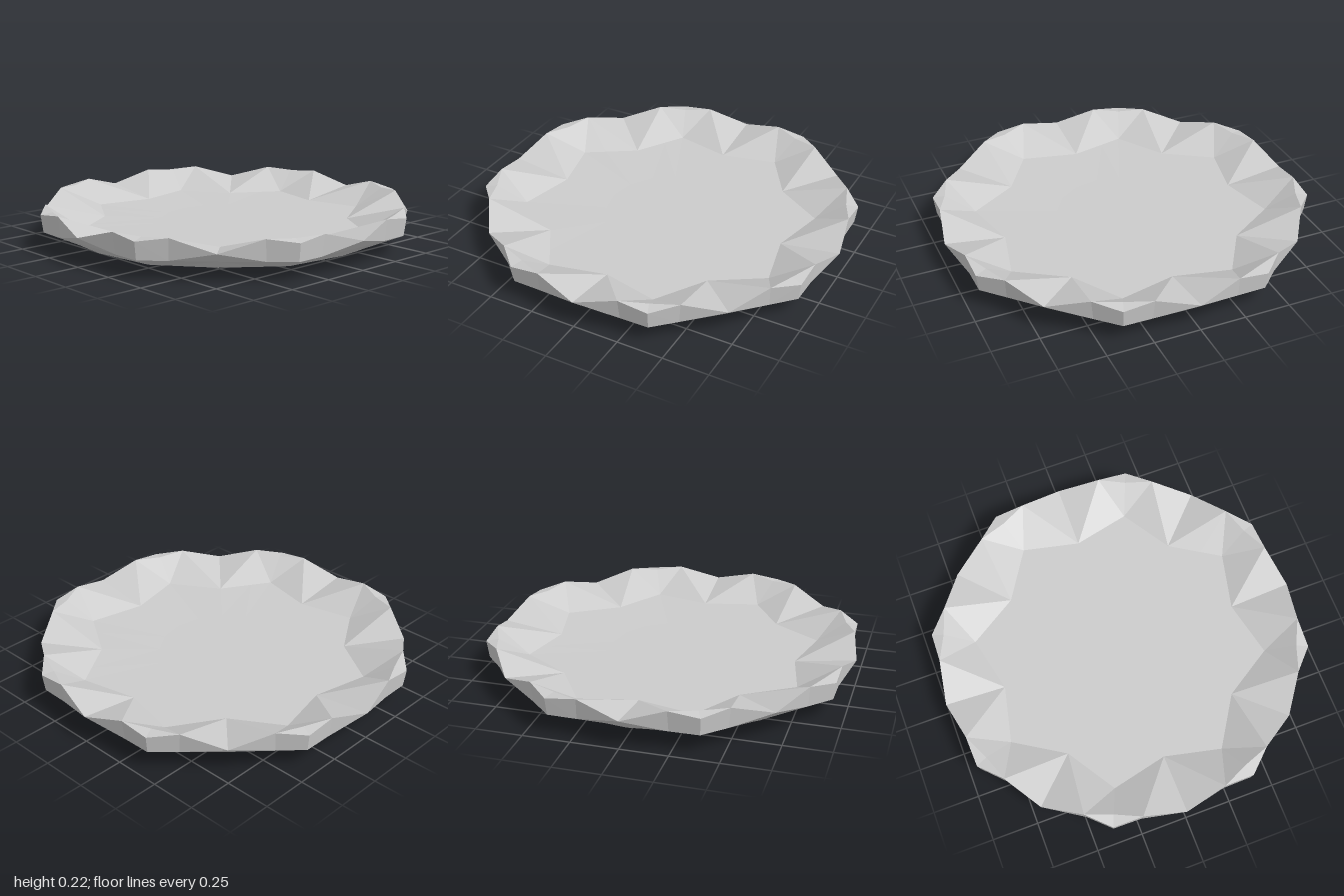
import * as THREE from 'three';

const LOBES = 8, STEPS = 4, COUNT = LOBES * STEPS;
const ANGLES = [0, 13.5, 22.5, 31.5]; // notch, shoulder, lobe tip, shoulder

function polar(deg, r, y) {
  const a = THREE.MathUtils.degToRad(deg);
  return new THREE.Vector3(Math.sin(a) * r, y, Math.cos(a) * r);
}

// Scalloped ring: radius and height at notch, shoulder and lobe tip
function scallop(notch, shoulder, tip) {
  const spec = [notch, shoulder, tip, shoulder];
  return Array.from({ length: COUNT }, (_, i) =>
    polar(Math.floor(i / STEPS) * 45 + ANGLES[i % STEPS], ...spec[i % STEPS]));
}

// Sixteen-sided ring, with the shoulder points lying on its straight sides
function ring(rNotch, rTip, y) {
  return Array.from({ length: COUNT }, (_, i) => {
    const base = Math.floor(i / STEPS) * 45, k = i % STEPS;
    if (k === 0) return polar(base, rNotch, y);
    const tip = polar(base + 22.5, rTip, y);
    return k === 2 ? tip : tip.lerp(polar(base + (k === 1 ? 0 : 45), rNotch, y), 0.4);
  });
}

// Join successive rings, mirroring the diagonals in each lobe
function loft(name, rings) {
  const pos = [];
  const tri = (a, b, c) => {
    if (new THREE.Triangle(a, b, c).getArea() > 1e-6) {
      for (const p of [a, b, c]) pos.push(p.x, p.y, p.z);
    }
  };
  for (let k = 0; k < rings.length - 1; k++) {
    const a = rings[k], b = rings[k + 1];
    for (let i = 0; i < COUNT; i++) {
      const j = (i + 1) % COUNT;
      if (i % 2 === 0) {
        tri(a[i], a[j], b[i]);
        tri(a[j], b[j], b[i]);
      } else {
        tri(a[i], a[j], b[j]);
        tri(a[i], b[j], b[i]);
      }
    }
  }
  const geo = new THREE.BufferGeometry();
  geo.setAttribute('position', new THREE.Float32BufferAttribute(pos, 3));
  geo.computeVertexNormals();
  const mesh = new THREE.Mesh(geo, new THREE.MeshStandardMaterial({ color: 0xcccccc, flatShading: true }));
  mesh.name = name;
  return mesh;
}

export function createModel() {
  const group = new THREE.Group();
  group.name = 'scallopedPlate';

  const rim = scallop([1, 0.15], [0.982, 0.215], [1.028, 0.195]);
  const crest = scallop([1, 0.15], [0.982, 0.215], [0.962, 0.205]);

  // Flat base and flared outer wall
  group.add(loft('underside', [
    ring(0, 0, 0),
    ring(0.67, 0.67, 0),
    ring(0.87, 0.895, 0.05),
    ring(0.945, 1.015, 0.1),
    rim,
  ]));

  // Rim bevel, fluted inner slope and shallow floor
  group.add(loft('dish', [
    rim,
    crest,
    ring(0.67, 0.8, 0.103),
    ring(0.35, 0.35, 0.098),
    ring(0, 0, 0.098),
  ]));

  return group;
}
